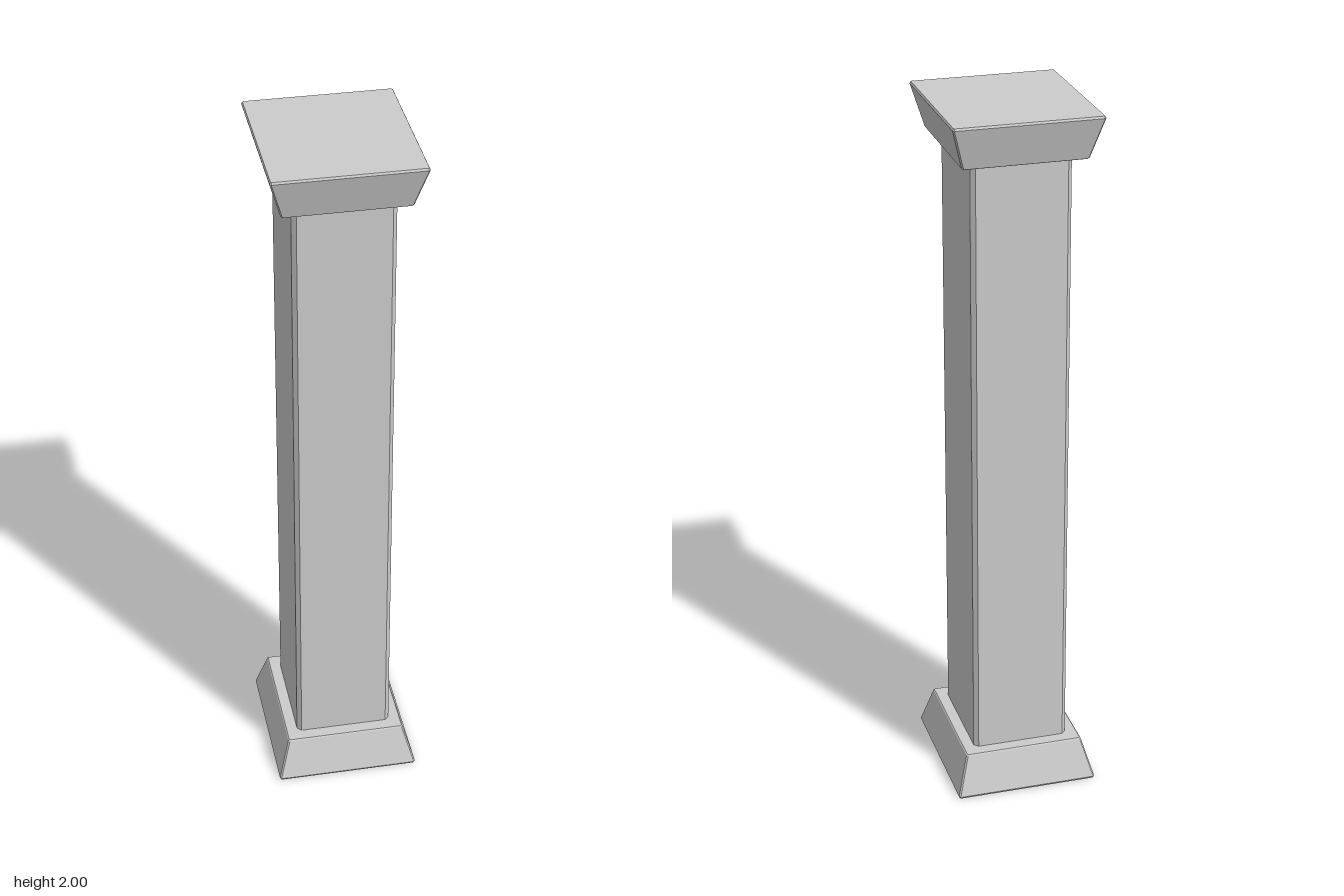
import * as THREE from 'three';

// Corners of a rectangle with chamfered corners, counter-clockwise seen from above
function ring([y, hx, hz, c]) {
  return [
    [hx, hz - c], [hx, c - hz], [hx - c, -hz], [c - hx, -hz],
    [-hx, c - hz], [-hx, hz - c], [c - hx, hz], [hx - c, hz],
  ].map(([x, z]) => [x, y, z]);
}

// Closed solid through sections [y, halfWidth, halfDepth, chamfer], listed bottom to top
function loft(name, sections, material) {
  const rings = sections.map(ring);
  const pos = [];
  const tri = (a, b, c) => pos.push(...a, ...b, ...c);
  for (let i = 0; i < rings.length - 1; i++) {
    for (let j = 0; j < 8; j++) {
      const k = (j + 1) % 8;
      const [a, b, c, d] = [rings[i][j], rings[i][k], rings[i + 1][k], rings[i + 1][j]];
      tri(a, b, c);
      tri(a, c, d);
    }
  }
  const bottom = rings[0];
  const top = rings[rings.length - 1];
  for (let j = 1; j < 7; j++) {
    tri(bottom[0], bottom[j + 1], bottom[j]);
    tri(top[0], top[j], top[j + 1]);
  }
  const geometry = new THREE.BufferGeometry();
  geometry.setAttribute('position', new THREE.Float32BufferAttribute(pos, 3));
  geometry.computeVertexNormals();
  const mesh = new THREE.Mesh(geometry, material);
  mesh.name = name;
  return mesh;
}

export function createModel() {
  const group = new THREE.Group();
  group.name = 'pillar';
  const material = new THREE.MeshStandardMaterial({ color: 0xcccccc, flatShading: true });

  // Flared block with finely bevelled edges: the plinth
  const plinth = [
    [0, 0.201, 0.225, 0.003],
    [0.006, 0.204, 0.228, 0.004],
    [0.119, 0.172, 0.194, 0.004],
    [0.122, 0.169, 0.191, 0.003],
  ];
  // The capital is the plinth turned upside down
  const capital = plinth.map(([y, ...rest]) => [2 - y, ...rest]).reverse();

  group.add(loft('plinth', plinth, material));
  group.add(loft('shaft', [[0.11, 0.138, 0.156, 0.012], [1.89, 0.138, 0.156, 0.012]], material));
  group.add(loft('capital', capital, material));
  return group;
}
